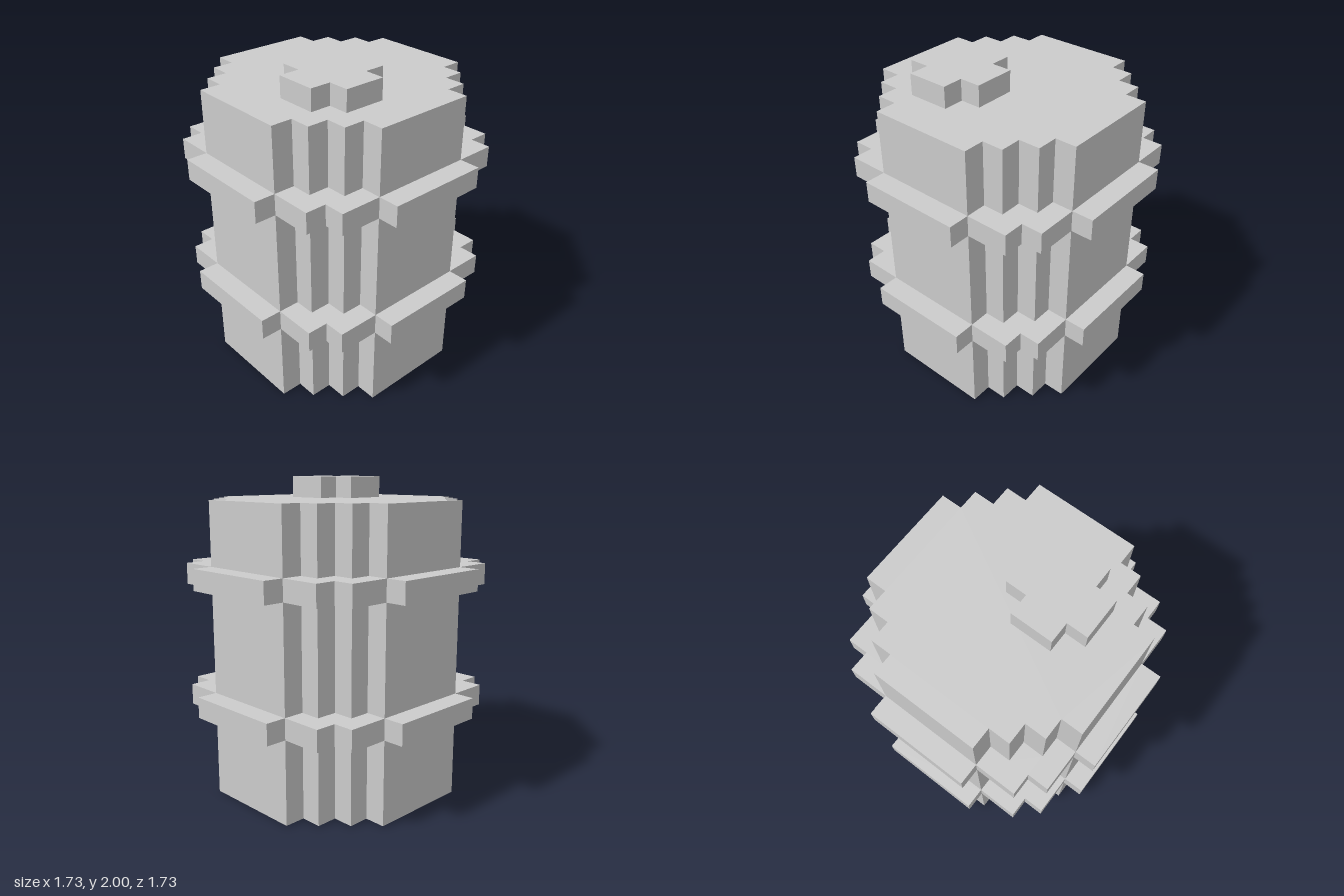
import * as THREE from 'three';

const U = 2 / 15; // one block
const material = new THREE.MeshStandardMaterial({ color: 0xcccccc, flatShading: true });

// Upright prism over an outline given in blocks
function prism(name, outline, y, height) {
  const shape = new THREE.Shape(outline.map(([x, z]) => new THREE.Vector2(x * U, z * U)));
  const geometry = new THREE.ExtrudeGeometry(shape, { depth: height * U, bevelEnabled: false });
  geometry.rotateX(-Math.PI / 2);
  geometry.translate(0, y * U, 0);
  const mesh = new THREE.Mesh(geometry, material);
  mesh.name = name;
  return mesh;
}

// Full stepped outline from the points of one quarter turn
function fourfold(quarter) {
  const points = [];
  for (let i = 0; i < 4; i++) {
    for (let [x, z] of quarter) {
      for (let k = 0; k < i; k++) [x, z] = [-z, x];
      points.push([x, z]);
    }
  }
  return points;
}

// Hoop: a straight bar on each side and a stepped bracket on each corner
function hoop(name, y) {
  const group = new THREE.Group();
  group.name = name;
  const bar = [[-2.5, 5.5], [2.5, 5.5], [2.5, 6.5], [-2.5, 6.5]];
  const corner = [
    [5.5, 2.5], [5.5, 4.5], [4.5, 4.5], [4.5, 5.5], [2.5, 5.5],
    [2.5, 4.5], [3.5, 4.5], [3.5, 3.5], [4.5, 3.5], [4.5, 2.5],
  ];
  for (let i = 0; i < 4; i++) {
    const parts = [prism('hoopBar', bar, y, 1), prism('hoopCorner', corner, y, 1)];
    for (const part of parts) {
      part.rotation.y = i * Math.PI / 2;
      group.add(part);
    }
  }
  return group;
}

export function createModel() {
  const model = new THREE.Group();
  model.name = 'barrel';

  // Barrel body with stepped corners
  const body = fourfold([
    [5.5, -2.5], [5.5, 2.5], [4.5, 2.5], [4.5, 3.5], [3.5, 3.5], [3.5, 4.5], [2.5, 4.5],
  ]);
  model.add(prism('body', body, 0, 14));

  // Two hoops around the body
  model.add(hoop('lowerHoop', 4), hoop('upperHoop', 10));

  // Off-centre plus-shaped cap on the lid
  const cap = prism('cap', fourfold([[2, -1], [2, 1], [1, 1]]), 14, 1);
  cap.position.set(-1.5 * U, 0, 1.5 * U);
  model.add(cap);

  return model;
}
